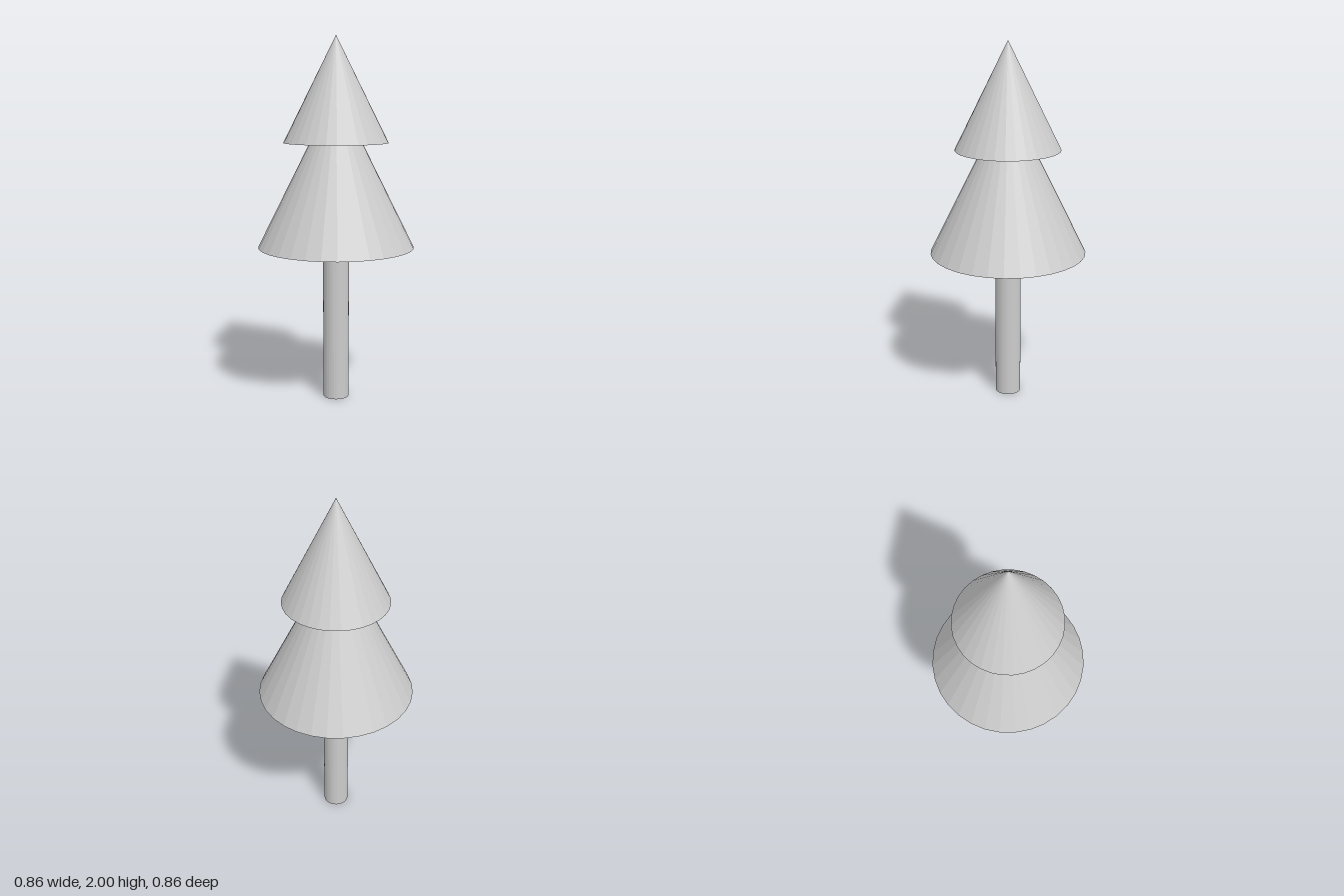
import * as THREE from 'three';

const SIDES = 32;
const U = 1 / 7; // model unit: the tree is 14 units tall

export function createModel() {
  const tree = new THREE.Group();
  tree.name = 'tree';
  const grey = new THREE.MeshStandardMaterial({ color: 0xcccccc, flatShading: true });
  grey.name = 'plain grey';

  // Adds a part standing on height y (all measures in units)
  const add = (name, geometry, y, height) => {
    const mesh = new THREE.Mesh(geometry, grey);
    mesh.name = name;
    mesh.position.y = (y + height / 2) * U;
    tree.add(mesh);
  };

  // Trunk
  add('trunk', new THREE.CylinderGeometry(0.5 * U, 0.5 * U, 6 * U, SIDES), 0, 6);

  // Two tiers of foliage, the upper one overlapping the lower
  add('lowerFoliage', new THREE.ConeGeometry(3 * U, 6 * U, SIDES), 6, 6);
  add('upperFoliage', new THREE.ConeGeometry(2 * U, 4 * U, SIDES), 10, 4);

  return tree;
}
